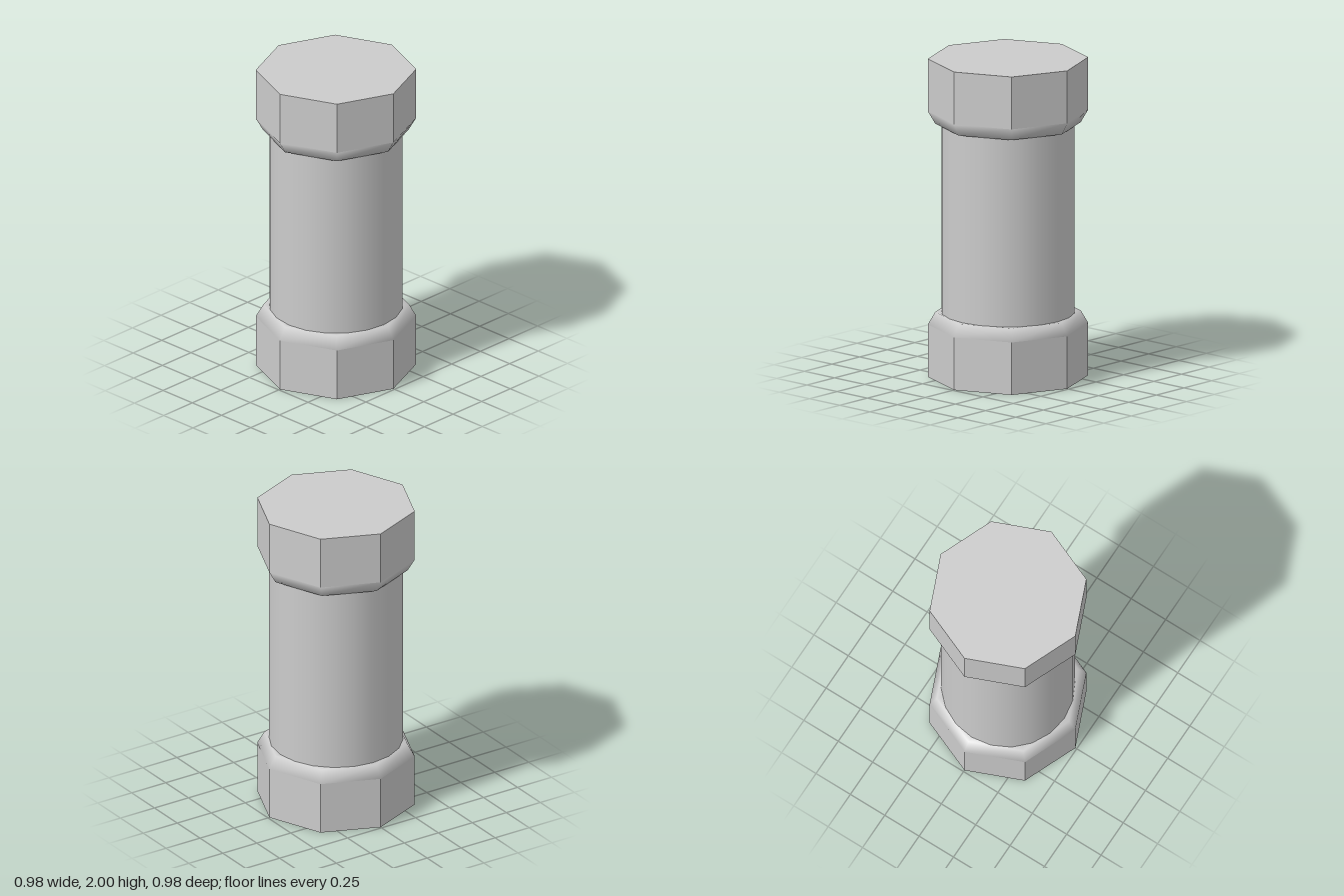
import * as THREE from 'three';

const material = new THREE.MeshStandardMaterial({ color: 0xcccccc });
const flatMaterial = new THREE.MeshStandardMaterial({ color: 0xcccccc, flatShading: true });

const HEIGHT = 2;
const CAP_HEIGHT = 0.33;
const CAP_RADIUS = 0.49;
const TUBE = 0.09;

function addMesh(parent, name, geometry, mat, y) {
  const mesh = new THREE.Mesh(geometry, mat);
  mesh.name = name;
  mesh.position.y = y;
  parent.add(mesh);
  return mesh;
}

// Octagonal block with a bevelled collar on the side facing the shaft
function createCap(name) {
  const cap = new THREE.Group();
  cap.name = name;
  addMesh(cap, 'octagonBlock',
    new THREE.CylinderGeometry(CAP_RADIUS, CAP_RADIUS, CAP_HEIGHT, 8), flatMaterial, CAP_HEIGHT / 2);
  addMesh(cap, 'collar',
    new THREE.TorusGeometry(CAP_RADIUS - TUBE, TUBE, 6, 8).rotateX(Math.PI / 2), material, CAP_HEIGHT);
  return cap;
}

export function createModel() {
  const model = new THREE.Group();
  model.name = 'cappedColumn';

  // Round shaft between the caps
  addMesh(model, 'shaft',
    new THREE.CylinderGeometry(0.41, 0.41, HEIGHT - 2 * CAP_HEIGHT, 20), material, HEIGHT / 2);

  // Bottom cap, and the same cap turned over at the top
  model.add(createCap('bottomCap'));
  const topCap = createCap('topCap');
  topCap.rotation.x = Math.PI;
  topCap.position.y = HEIGHT;
  model.add(topCap);

  return model;
}
